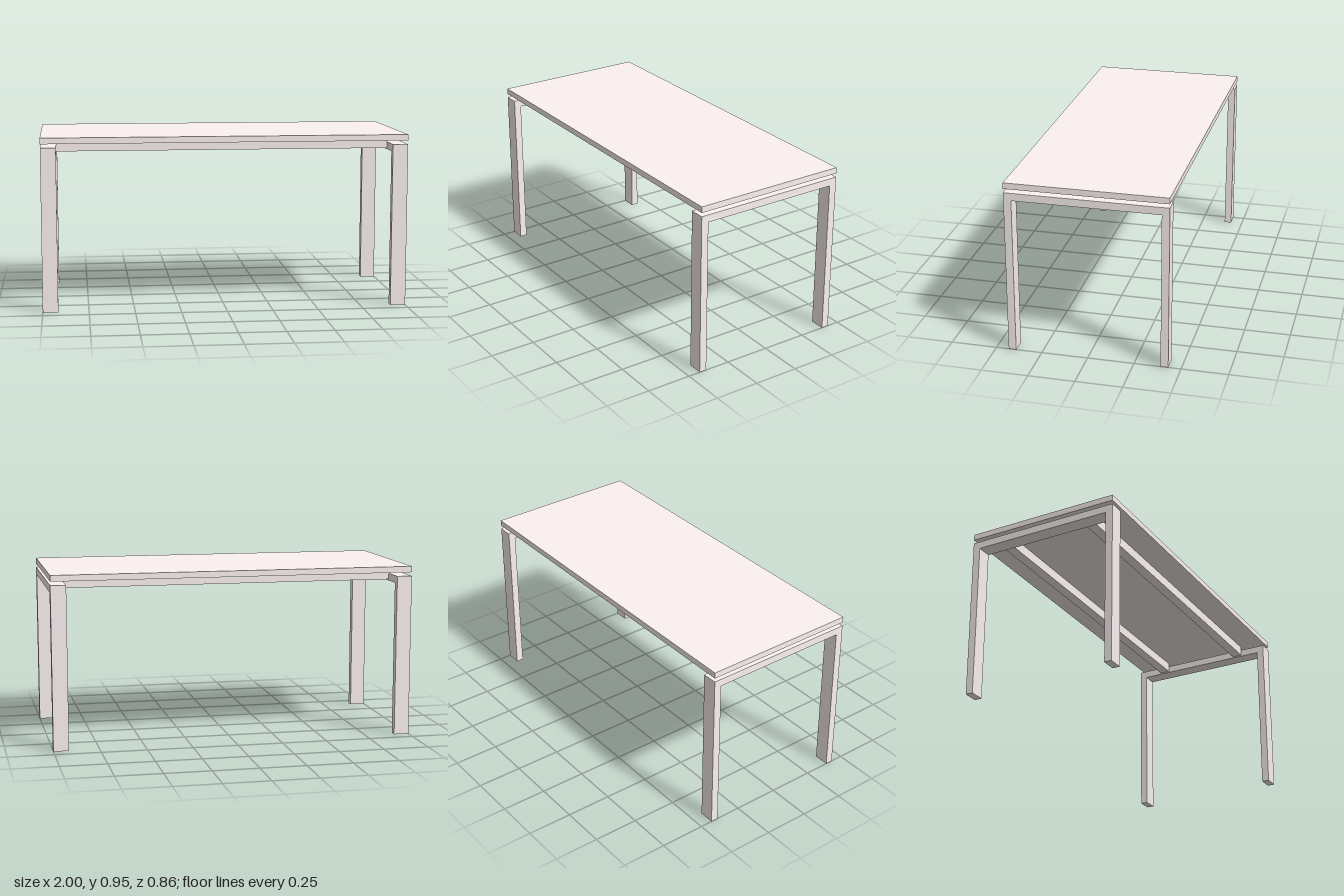
import * as THREE from 'three';

const material = new THREE.MeshStandardMaterial({ color: 0xfcf2f2 });

const DEPTH = 0.864, HALF = DEPTH / 2;
const FRAME_TOP = 0.896, FRAME_WIDTH = 0.084, BAR = 0.041;
const TOP_UNDER = 0.917, TOP_HEIGHT = 0.95;
const RAIL_UNDER = 0.862;

function addBox(group, name, w, h, d, x, y, z) {
  const mesh = new THREE.Mesh(new THREE.BoxGeometry(w, h, d), material);
  mesh.name = name;
  mesh.position.set(x, y, z);
  group.add(mesh);
}

// Upside-down U of two legs and a cross beam, extruded along x
function legFrameGeometry() {
  const inner = HALF - BAR, under = FRAME_TOP - BAR;
  const shape = new THREE.Shape([
    [-HALF, 0], [-inner, 0], [-inner, under], [inner, under],
    [inner, 0], [HALF, 0], [HALF, FRAME_TOP], [-HALF, FRAME_TOP],
  ].map(([z, y]) => new THREE.Vector2(z, y)));
  const geometry = new THREE.ExtrudeGeometry(shape, { depth: FRAME_WIDTH, bevelEnabled: false });
  geometry.translate(0, 0, -FRAME_WIDTH / 2);
  geometry.rotateY(Math.PI / 2);
  return geometry;
}

export function createModel() {
  const table = new THREE.Group();
  table.name = 'table';

  // Tabletop, floating just above the leg frames
  addBox(table, 'tabletop', 2, TOP_HEIGHT - TOP_UNDER, DEPTH, 0, (TOP_HEIGHT + TOP_UNDER) / 2, 0);

  const frame = legFrameGeometry();
  for (const side of [1, -1]) {
    // Leg frame at each end
    const legs = new THREE.Mesh(frame, material);
    legs.name = side > 0 ? 'leftLegFrame' : 'rightLegFrame';
    legs.position.x = side * (1 - FRAME_WIDTH / 2);
    table.add(legs);

    // Long rail between the frames, carrying the top
    addBox(table, side > 0 ? 'frontRail' : 'backRail',
      2 * (1 - FRAME_WIDTH), TOP_UNDER - RAIL_UNDER, 0.056,
      0, (TOP_UNDER + RAIL_UNDER) / 2, side * 0.255);
  }
  return table;
}
